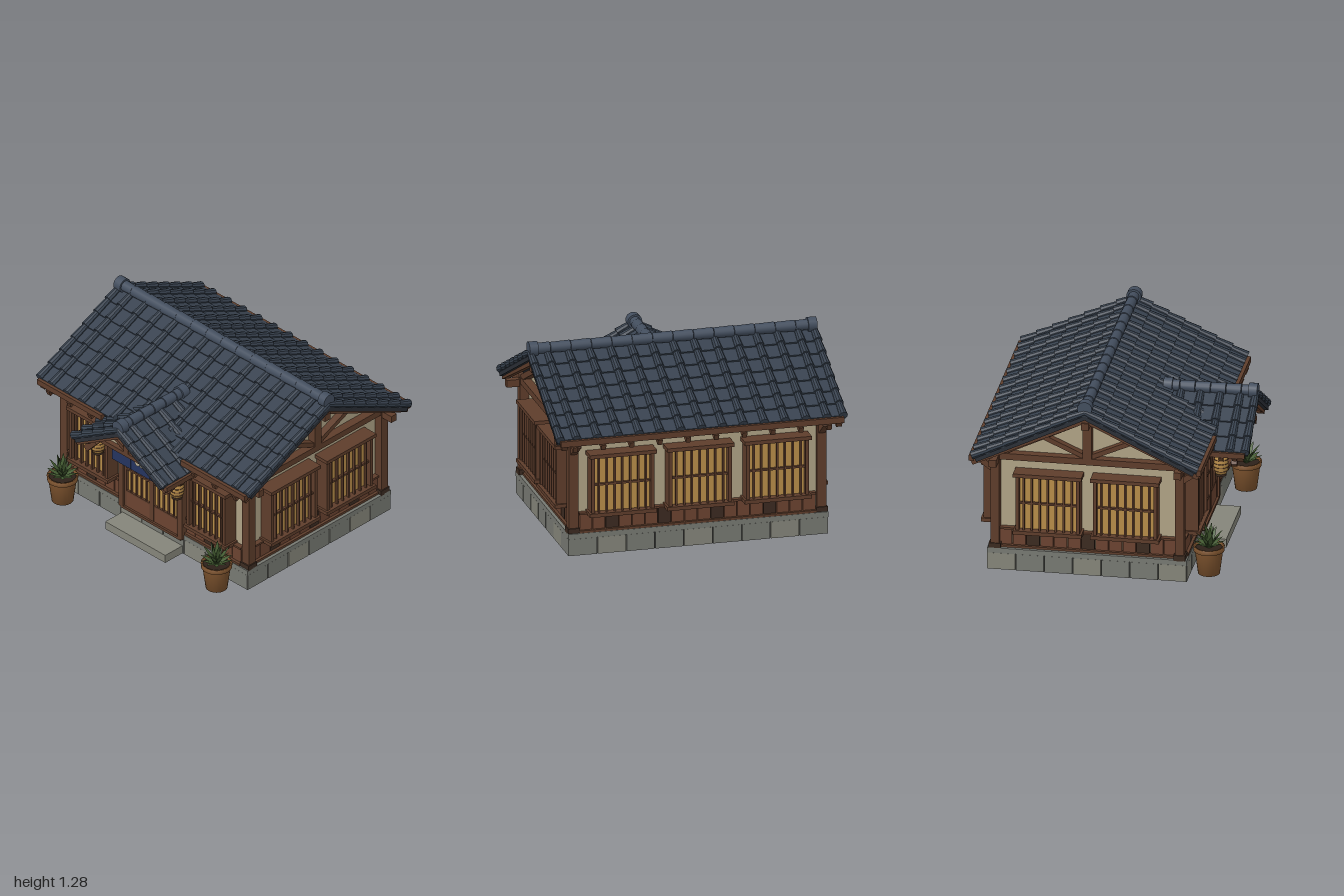
import * as THREE from 'three';
import { mergeGeometries } from 'three/addons/utils/BufferGeometryUtils.js';

const mat = (color, side = THREE.FrontSide, flatShading = false) =>
  new THREE.MeshStandardMaterial({ color, side, flatShading });
const M = {
  wood: mat(0x5e3d2b), darkWood: mat(0x3b2a20), plank: mat(0x6b4330), plaster: mat(0xb0a386), paper: mat(0xb88d49),
  tile: mat(0x38424f, THREE.FrontSide, true), ridge: mat(0x434e5e), under: mat(0x2b2f36), stone: mat(0x777972),
  stoneLight: mat(0x85857a), stoneDark: mat(0x50524e), cloth: mat(0x25345f, THREE.DoubleSide), crest: mat(0xb5ab92),
  pot: mat(0x80552f), soil: mat(0x2c2119), leaf: mat(0x425a30, THREE.DoubleSide), lantern: mat(0xb58a48),
};
const CZ = -0.11; // depth of the main ridge

function add(parent, name, geo, material, x = 0, y = 0, z = 0) {
  const m = new THREE.Mesh(geo, material);
  m.name = name;
  m.position.set(x, y, z);
  parent.add(m);
  return m;
}
const box = (p, name, m, w, h, d, x, y, z) => add(p, name, new THREE.BoxGeometry(w, h, d), m, x, y, z);
const group = (p, name, x = 0, y = 0, z = 0, ry = 0) => {
  const g = new THREE.Group();
  g.name = name;
  g.position.set(x, y, z);
  g.rotation.y = ry;
  p.add(g);
  return g;
};
// Square timber between two points
function beam(p, name, a, b, w, h, m = M.wood) {
  const A = new THREE.Vector3(...a), B = new THREE.Vector3(...b);
  const o = add(p, name, new THREE.BoxGeometry(w, h, A.distanceTo(B)), m);
  o.position.copy(A).lerp(B, 0.5);
  o.lookAt(B);
  return o;
}

// One tiled slope, ridge along local x, falling towards local +z
function roofSlope(p, name, len, run, slope, cols, rows) {
  const g = group(p, name), L = run * Math.hypot(1, slope), d = L / rows, step = len / cols;
  g.rotation.x = Math.atan(slope);
  box(g, 'roofBoard', M.under, len - 0.03, 0.03, L - 0.01, 0, -0.03, L / 2);
  const parts = [];
  for (let r = 0; r < rows; r++) {
    const z = (r + 0.5) * d;
    parts.push(new THREE.BoxGeometry(len - 0.02, 0.016, d + 0.012).rotateX(-0.09).translate(0, -0.004, z));
    for (let c = 0; c <= cols; c++) {
      const x = Math.max(-len / 2 + 0.03, Math.min(len / 2 - 0.03, -len / 2 + c * step));
      parts.push(new THREE.CylinderGeometry(0.03, 0.023, d + 0.01, 10).rotateX(Math.PI / 2)
        .rotateX(-0.05).translate(x, 0.004, z));
    }
  }
  add(g, 'roofTiles', mergeGeometries(parts), M.tile);
}

// Pair of slopes with a segmented ridge roll
function gableRoof(p, name, len, run, slope, cols, rows, n, rollY) {
  const g = group(p, name);
  for (const ry of [0, Math.PI]) roofSlope(group(g, 'slope', 0, 0, 0, ry), 'tiledSlope', len, run, slope, cols, rows);
  const s = (len - 0.04) / n;
  for (let i = 0; i < n; i++)
    add(g, 'ridgeTile', new THREE.CylinderGeometry(0.039, 0.035, s - 0.004, 14).rotateZ(Math.PI / 2), M.ridge, -len / 2 + 0.02 + (i + 0.5) * s, rollY, 0);
  for (const e of [-1, 1])
    add(g, 'ridgeEnd', new THREE.CylinderGeometry(0.05, 0.05, 0.06, 18).rotateZ(Math.PI / 2), M.ridge, e * (len / 2 - 0.045), rollY, 0);
  return g;
}

// Lattice window standing out from a wall, facing local +z
function latticeWindow(p, x, w, bars) {
  const g = group(p, 'latticeWindow', x), y0 = 0.29, y1 = 0.7, h = y1 - y0, y = (y0 + y1) / 2;
  box(g, 'paperPane', M.paper, w - 0.03, h - 0.02, 0.06, 0, y, 0.03);
  for (const s of [-1, 1]) box(g, 'frameSide', M.wood, 0.024, h, 0.1, s * (w / 2 - 0.012), y, 0.05);
  box(g, 'frameTop', M.wood, w + 0.03, 0.026, 0.115, 0, y1, 0.0575);
  box(g, 'frameBottom', M.wood, w + 0.03, 0.026, 0.115, 0, y0, 0.0575);
  for (let i = 1; i <= bars; i++) box(g, 'latticeBar', M.wood, 0.012, h, 0.02, -w / 2 + (i * w) / (bars + 1), y, 0.082);
  box(g, 'crossBar', M.wood, w - 0.03, 0.013, 0.02, 0, y, 0.075);
}

// Plank skirting with sill and rail from x0 to x1
function skirting(p, x0, x1) {
  const n = Math.round((x1 - x0) / 0.09), s = (x1 - x0) / n, c = (x0 + x1) / 2;
  for (let i = 0; i < n; i++)
    box(p, 'skirtingPlank', i % 4 === 2 ? M.darkWood : M.plank, s - 0.006, 0.125, 0.03, x0 + (i + 0.5) * s, 0.22, 0.012);
  box(p, 'sill', M.wood, x1 - x0, 0.02, 0.05, c, 0.158, 0.022);
  box(p, 'rail', M.wood, x1 - x0, 0.014, 0.045, c, 0.283, 0.015);
}

function foundation(p) {
  const g = group(p, 'foundation', 0, 0, CZ);
  box(g, 'baseCore', M.stoneDark, 1.75, 0.146, 1.31, 0, 0.073, 0);
  [[1.78, 0.67, 0], [1.34, 0.89, Math.PI / 2], [1.78, 0.67, Math.PI], [1.34, 0.89, -Math.PI / 2]].forEach(([w, off, ry], k) => {
    const side = group(g, 'baseSide', 0, 0, 0, ry), n = w > 1.5 ? 9 : 7;
    for (let i = 0; i < n; i++)
      box(side, 'baseStone', (i + k) % 3 ? M.stone : M.stoneLight, w / n - 0.007, 0.115, 0.04, -w / 2 + (i + 0.5) * (w / n), 0.058, off - 0.02);
    box(side, 'baseCoping', M.stone, w, 0.036, 0.06, 0, 0.134, off - 0.03);
  });
  box(p, 'doorStep', M.stoneLight, 0.56, 0.06, 0.17, 0, 0.03, 0.635);
}

function walls(p) {
  const s = new THREE.Shape([[-0.62, 0.14], [0.62, 0.14], [0.62, 0.83], [0, 1.13], [-0.62, 0.83]].map((a) => new THREE.Vector2(...a)));
  const geo = new THREE.ExtrudeGeometry(s, { depth: 1.64, bevelEnabled: false }).translate(0, 0, -0.82).rotateY(Math.PI / 2);
  add(p, 'plasterWalls', geo, M.plaster, 0, 0, CZ);
  const front = group(p, 'frontWall', 0, 0, CZ + 0.62), back = group(p, 'backWall', 0, 0, CZ - 0.62, Math.PI);
  for (const e of [-1, 1]) {
    latticeWindow(front, e * 0.55, 0.36, 6);
    skirting(front, e > 0 ? 0.29 : -0.81, e > 0 ? 0.81 : -0.29);
    const side = group(p, 'sideWall', e * 0.82, 0, CZ, (e * Math.PI) / 2);
    skirting(side, -0.6, 0.6);
    for (const x of [-0.26, 0.26]) latticeWindow(side, x, 0.43, 7);
    // gable truss
    const X = e * 0.845;
    beam(p, 'tieBeam', [X, 0.81, CZ - 0.68], [X, 0.81, CZ + 0.68], 0.07, 0.045);
    box(p, 'kingPost', M.wood, 0.07, 0.35, 0.06, X, 1.0, CZ);
    for (const f of [-1, 1]) {
      beam(p, 'strut', [X, 0.84, CZ + f * 0.02], [X, 0.97, CZ + f * 0.31], 0.05, 0.032);
      beam(p, 'innerRafter', [X, 1.115, CZ], [X, 0.82, CZ + f * 0.61], 0.06, 0.04);
      beam(p, 'bargeBoard', [e * 0.94, 1.15, CZ], [e * 0.94, 0.793, CZ + f * 0.765], 0.04, 0.05);
      beam(p, 'kneeBrace', [e * 0.85, 0.71, CZ + f * 0.63], [e * 0.85, 0.805, CZ + f * 0.76], 0.045, 0.04);
      box(p, 'cornerPost', M.wood, 0.065, 0.7, 0.06, e * 0.85, 0.48, CZ + f * 0.62);
      box(p, 'postFoot', M.darkWood, 0.08, 0.04, 0.08, e * 0.85, 0.165, CZ + f * 0.62);
    }
    for (const [y, z] of [[1.1, 0], [0.79, -0.62], [0.79, 0.62]])
      box(p, 'purlinEnd', M.wood, 0.16, 0.05, 0.05, e * 0.89, y, CZ + z);
  }
  for (const x of [-0.53, 0, 0.53]) latticeWindow(back, x, 0.43, 7);
  skirting(back, -0.81, 0.81);
  // eave timbers
  for (const f of [-1, 1]) {
    box(p, 'wallPlate', M.wood, 1.76, 0.05, 0.06, 0, 0.805, CZ + f * 0.625);
    for (let i = 0; i < 10; i++) {
      const x = -0.87 + i * 0.1933;
      if (f < 0 || Math.abs(x) > 0.35)
        beam(p, 'rafterTail', [x, 0.845, CZ + f * 0.6], [x, 0.777, CZ + f * 0.775], 0.032, 0.04);
    }
    const spans = f < 0 ? [[-0.97, 0.97]] : [[-0.97, -0.37], [0.37, 0.97]];
    for (const [a, b] of spans) box(p, 'eaveFascia', M.wood, b - a, 0.04, 0.035, (a + b) / 2, 0.822, CZ + f * 0.762);
  }
}

function entrance(p) {
  const d = group(p, 'slidingDoors', 0, 0, 0.53);
  box(d, 'doorPaper', M.paper, 0.5, 0.54, 0.04, 0, 0.5, 0);
  for (const e of [-1, 1]) {
    box(d, 'doorPost', M.wood, 0.04, 0.68, 0.1, e * 0.275, 0.46, 0);
    box(d, 'doorPanel', M.plank, 0.245, 0.13, 0.05, e * 0.125, 0.18, 0.01);
    for (const x of [0.01, 0.245]) box(d, 'doorStile', M.wood, 0.02, 0.64, 0.055, e * x, 0.44, 0.01);
    for (let i = 1; i < 5; i++) box(d, 'doorBar', M.wood, 0.01, 0.52, 0.015, e * (0.01 + i * 0.047), 0.5, 0.025);
    for (const y of [0.25, 0.43, 0.55, 0.7]) box(d, 'doorRail', M.wood, 0.24, 0.014, 0.02, e * 0.125, y, 0.025);
  }
  box(d, 'threshold', M.wood, 0.56, 0.02, 0.08, 0, 0.12, 0.01);
  box(d, 'lintel', M.wood, 0.62, 0.04, 0.1, 0, 0.79, 0);
  // split curtain with a flower crest
  for (const x of [-0.178, 0, 0.178]) box(p, 'doorCurtain', M.cloth, 0.172, 0.21, 0.008, x, 0.655, 0.67);
  beam(p, 'curtainRod', [-0.4, 0.763, 0.67], [0.4, 0.763, 0.67], 0.018, 0.018);
  for (let i = 0; i < 5; i++) {
    const a = Math.PI / 2 + (i * Math.PI * 2) / 5;
    add(p, 'crestPetal', new THREE.CylinderGeometry(0.023, 0.023, 0.008, 14).rotateX(Math.PI / 2), M.crest, Math.cos(a) * 0.037, 0.665 + Math.sin(a) * 0.037, 0.678);
  }
  add(p, 'crestCentre', new THREE.CylinderGeometry(0.013, 0.013, 0.01, 12).rotateX(Math.PI / 2), M.crest, 0, 0.665, 0.68);

  // porch roof and its truss
  const roof = gableRoof(p, 'porchRoof', 0.66, 0.42, 0.6, 5, 4, 6, 1.025);
  roof.children.forEach((c) => { if (c.name === 'slope') c.position.y = 1.005; });
  roof.position.z = 0.57;
  roof.rotation.y = Math.PI / 2;
  const tri = new THREE.Shape([new THREE.Vector2(-0.3, 0.765), new THREE.Vector2(0.3, 0.765), new THREE.Vector2(0, 0.945)]);
  add(p, 'porchGable', new THREE.ExtrudeGeometry(tri, { depth: 0.02, bevelEnabled: false }), M.plaster, 0, 0, 0.755);
  box(p, 'porchTie', M.wood, 0.62, 0.03, 0.05, 0, 0.775, 0.785);
  box(p, 'porchKingPost', M.wood, 0.04, 0.19, 0.05, 0, 0.86, 0.785);
  for (const e of [-1, 1]) {
    beam(p, 'porchBarge', [0, 0.955, 0.835], [e * 0.42, 0.703, 0.835], 0.045, 0.05);
    beam(p, 'porchRafter', [0, 0.945, 0.785], [e * 0.36, 0.729, 0.785], 0.04, 0.03);
    beam(p, 'porchStrut', [0, 0.79, 0.785], [e * 0.13, 0.86, 0.785], 0.035, 0.025);
    beam(p, 'porchBrace', [e * 0.29, 0.74, 0.79], [e * 0.38, 0.64, 0.79], 0.04, 0.045);
    box(p, 'porchFascia', M.wood, 0.03, 0.035, 0.33, e * 0.43, 0.735, 0.705);
    box(p, 'porchPurlin', M.wood, 0.045, 0.045, 0.34, e * 0.33, 0.752, 0.68);
    for (const z of [0.62, 0.71, 0.8]) beam(p, 'porchRafterTail', [e * 0.28, 0.795, z], [e * 0.435, 0.703, z], 0.03, 0.028);
    // hanging lantern
    const l = group(p, 'lantern', e * 0.37, 0, 0.7);
    const pts = [[0.001, 0.575], [0.036, 0.575], [0.046, 0.6], [0.05, 0.64], [0.046, 0.68], [0.036, 0.705], [0.001, 0.705]];
    add(l, 'lanternBody', new THREE.LatheGeometry(pts.map((a) => new THREE.Vector2(...a)), 18), M.lantern);
    for (const y of [0.57, 0.71]) add(l, 'lanternCap', new THREE.CylinderGeometry(0.038, 0.038, 0.016, 18), M.darkWood, 0, y, 0);
    for (const [y, r] of [[0.6, 0.046], [0.627, 0.049], [0.653, 0.049], [0.68, 0.046]])
      add(l, 'lanternRib', new THREE.TorusGeometry(r, 0.0025, 5, 20).rotateX(Math.PI / 2), M.wood, 0, y, 0);
    add(l, 'lanternCord', new THREE.CylinderGeometry(0.004, 0.004, 0.06, 6), M.darkWood, 0, 0.74, 0);
  }
}

// Drooping blade, pointed at both ends
function leafBlade(len, width, droop) {
  const g = new THREE.PlaneGeometry(width, len, 2, 5).translate(0, len / 2, 0), a = g.attributes.position;
  for (let i = 0; i < a.count; i++) {
    const t = a.getY(i) / len, x = a.getX(i) * Math.sin(Math.PI * (0.15 + 0.85 * t));
    a.setXYZ(i, x, a.getY(i) - droop * t * t * 0.4, droop * t * t + Math.abs(x) * 0.4);
  }
  g.computeVertexNormals();
  return g;
}

function pottedPlant(p, x) {
  const g = group(p, 'pottedPlant', x, 0, 0.68);
  const pts = [[0.001, 0.005], [0.073, 0.005], [0.094, 0.165], [0.103, 0.168], [0.105, 0.2], [0.092, 0.2], [0.09, 0.18]];
  add(g, 'pot', new THREE.LatheGeometry(pts.map((a) => new THREE.Vector2(...a)), 24), M.pot);
  add(g, 'soil', new THREE.CircleGeometry(0.091, 20).rotateX(-Math.PI / 2), M.soil, 0, 0.185, 0);
  [[5, 0.18, 0.02, 0.1], [8, 0.165, 0.04, 0.4], [10, 0.13, 0.04, 0.8]].forEach(([n, len, droop, tilt], k) => {
    for (let i = 0; i < n; i++) {
      const leaf = add(g, 'leaf', leafBlade(len, 0.036, droop).rotateX(tilt), M.leaf, 0, 0.185, 0);
      leaf.rotation.y = (i / n) * Math.PI * 2 + k * 0.4;
    }
  });
}

export function createModel() {
  const model = new THREE.Group();
  model.name = 'tiledHouse';
  foundation(model);
  walls(model);
  entrance(model);
  const roof = gableRoof(model, 'mainRoof', 2, 0.75, 0.485, 14, 7, 14, 1.235);
  roof.children.forEach((c) => { if (c.name === 'slope') c.position.y = 1.205; });
  roof.position.z = CZ;
  for (const e of [-1, 1]) pottedPlant(model, e * 0.72);
  return model;
}
